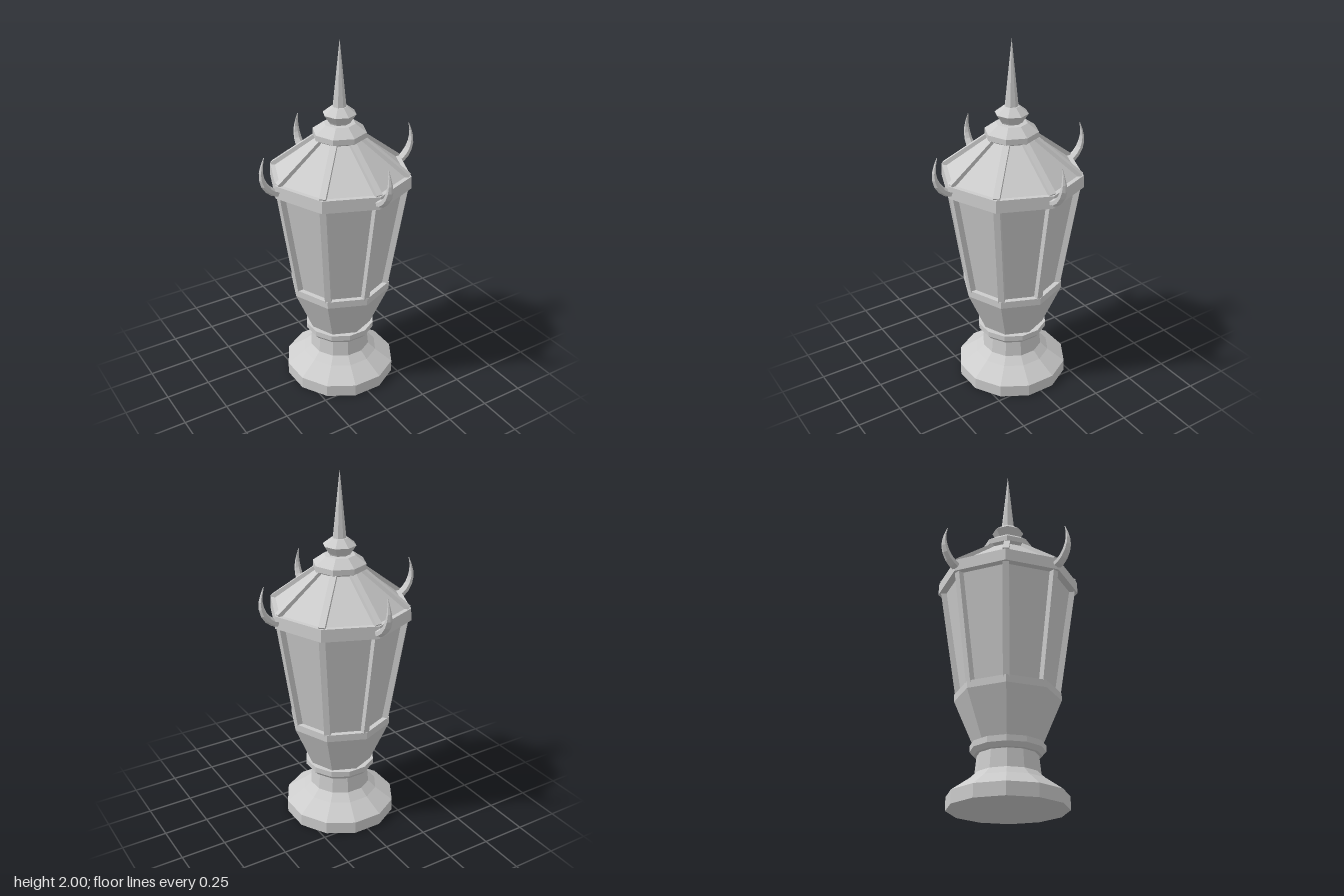
import * as THREE from 'three';

const stone = new THREE.MeshStandardMaterial({ color: 0xcccccc, flatShading: true });
stone.name = 'pale grey';

function add(parent, name, geometry) {
  const mesh = new THREE.Mesh(geometry, stone);
  mesh.name = name;
  parent.add(mesh);
  return mesh;
}

// Faceted turned part; profile is [radius, height] from bottom to top
function turned(parent, name, profile, sides = 8, start = 0) {
  const points = profile.map(([r, y]) => new THREE.Vector2(r, y));
  return add(parent, name, new THREE.LatheGeometry(points, sides, start));
}

// Straight bar in the xy plane between two [x, y] points
function bar(parent, name, [x0, y0], [x1, y1], depth, width) {
  const geometry = new THREE.BoxGeometry(depth, Math.hypot(x1 - x0, y1 - y0), width);
  geometry.rotateZ(-Math.atan2(x1 - x0, y1 - y0));
  geometry.translate((x0 + x1) / 2, (y0 + y1) / 2, 0);
  return add(parent, name, geometry);
}

// Tapered curved horn with a six-sided section, reaching out along +x
function hornGeometry() {
  const curve = new THREE.CatmullRomCurve3([
    [0.38, 1.248], [0.412, 1.262], [0.448, 1.302], [0.465, 1.35], [0.464, 1.40], [0.447, 1.458],
  ].map(([x, y]) => new THREE.Vector3(x, y, 0)));
  const rings = 7, sides = 6, positions = [], index = [];
  for (let i = 0; i <= rings; i++) {
    const t = i / rings;
    const p = curve.getPoint(t), d = curve.getTangent(t);
    const size = Math.max(0.002, 0.024 * (1 - t ** 2.2));
    for (let j = 0; j < sides; j++) {
      const a = (j / sides) * Math.PI * 2;
      const n = Math.cos(a) * size * 0.9, b = Math.sin(a) * size * 1.12;
      positions.push(p.x - d.y * n, p.y + d.x * n, b);
    }
  }
  for (let i = 0; i < rings; i++) {
    for (let j = 0; j < sides; j++) {
      const k = (j + 1) % sides;
      const a = i * sides + j, b = i * sides + k;
      index.push(a, b, a + sides, b, b + sides, a + sides);
    }
  }
  // End caps
  const last = rings * sides;
  for (let j = 1; j < sides - 1; j++) {
    index.push(0, j + 1, j, last, last + j, last + j + 1);
  }
  const geometry = new THREE.BufferGeometry();
  geometry.setAttribute('position', new THREE.Float32BufferAttribute(positions, 3));
  geometry.setIndex(index);
  geometry.computeVertexNormals();
  return geometry;
}

export function createModel() {
  const lantern = new THREE.Group();
  lantern.name = 'lantern';

  // Twelve-sided foot, neck and collar
  const twist = Math.PI / 12;
  turned(lantern, 'foot', [
    [0, 0], [0.315, 0], [0.315, 0.07], [0.215, 0.14], [0.172, 0.18], [0.16, 0.29],
  ], 12, twist);
  turned(lantern, 'collar', [
    [0.15, 0.278], [0.178, 0.28], [0.198, 0.303], [0.198, 0.335], [0, 0.338],
  ], 12, twist);

  // Octagonal bowl and lower rim
  turned(lantern, 'bowl', [
    [0.178, 0.33], [0.285, 0.58], [0.285, 0.62], [0, 0.62],
  ]);

  // Panes, upper rim and roof
  turned(lantern, 'panes', [[0.255, 0.615], [0.35, 1.225]]);
  turned(lantern, 'upperRim', [
    [0, 1.217], [0.39, 1.217], [0.387, 1.285], [0.355, 1.285],
  ]);
  turned(lantern, 'roof', [[0.365, 1.282], [0.125, 1.472]]);

  // Corner posts and roof ribs
  for (let i = 0; i < 8; i++) {
    const corner = new THREE.Group();
    corner.name = 'corner' + (i + 1);
    corner.rotation.y = (i * Math.PI) / 4;
    bar(corner, 'post', [0.259, 0.612], [0.354, 1.225], 0.04, 0.034);
    bar(corner, 'rib', [0.372, 1.282], [0.125, 1.472], 0.03, 0.034);
    lantern.add(corner);
  }

  // Stepped cap, finial bead and spire
  turned(lantern, 'cap', [
    [0, 1.462], [0.112, 1.462], [0.145, 1.482], [0.145, 1.512], [0.085, 1.555], [0, 1.562],
  ]);
  turned(lantern, 'finial', [
    [0.055, 1.55], [0.062, 1.565], [0.09, 1.607], [0.042, 1.645], [0, 1.647],
  ]);
  turned(lantern, 'spire', [[0.037, 1.64], [0, 2]]);

  // Four upturned horns on the rim
  const horn = hornGeometry();
  for (let i = 0; i < 4; i++) {
    add(lantern, 'horn' + (i + 1), horn).rotation.y = (i * Math.PI) / 2;
  }

  return lantern;
}
